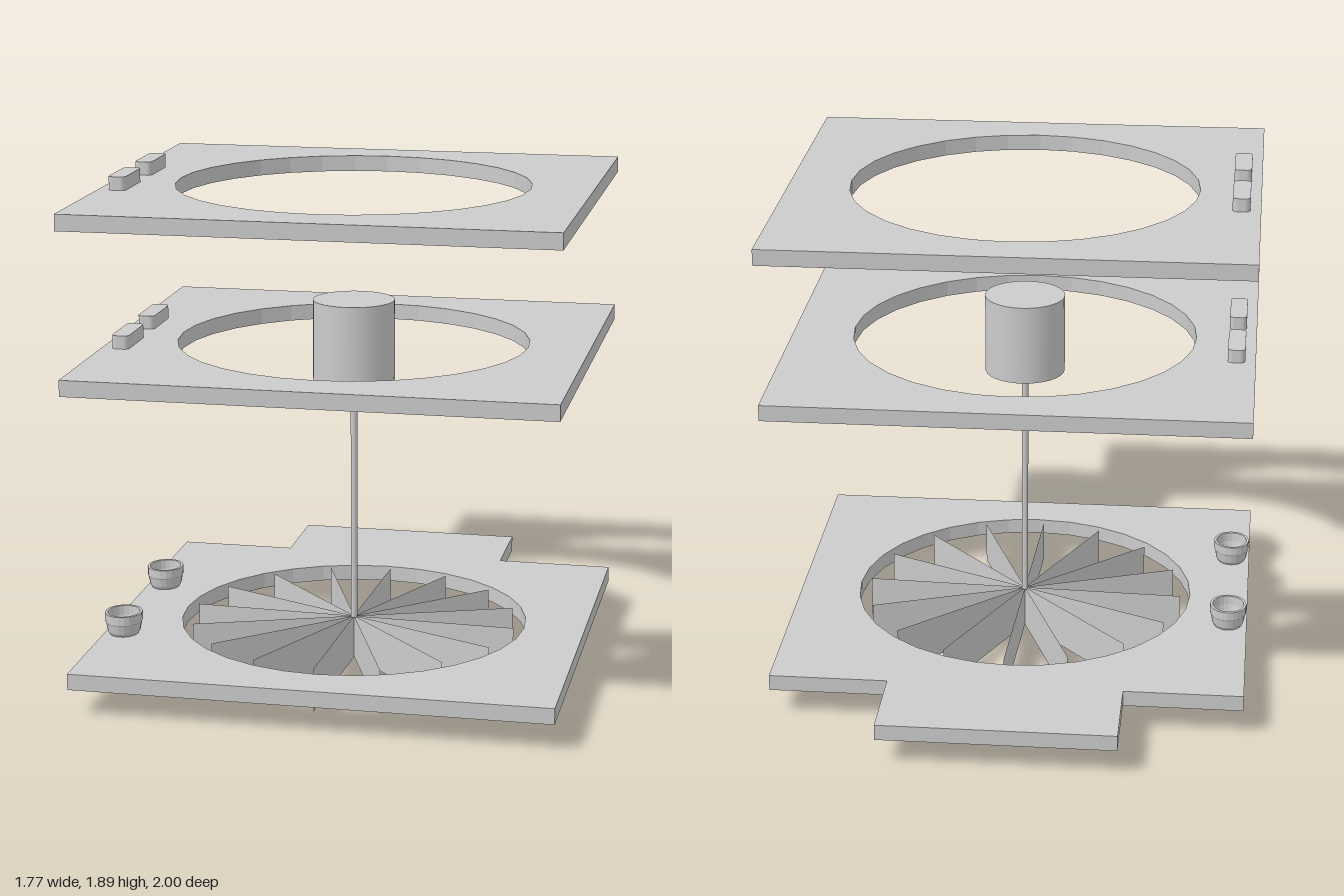
import * as THREE from 'three';

const AXIS_Z = 0.165; // z of the shared hole / fan axis
const HALF_W = 0.885;
const grey = new THREE.MeshStandardMaterial({ color: 0xcccccc });
const thin = new THREE.MeshStandardMaterial({ color: 0xcccccc, side: THREE.DoubleSide });

function add(parent, name, geometry, material, x = 0, y = 0, z = 0) {
  const mesh = new THREE.Mesh(geometry, material);
  mesh.name = name;
  mesh.position.set(x, y, z);
  parent.add(mesh);
  return mesh;
}

// Extrudes a plan outline (shape y = -z) upward from y = 0
function slab(shape, height, curveSegments) {
  const geo = new THREE.ExtrudeGeometry(shape, { depth: height, bevelEnabled: false, curveSegments });
  return geo.rotateX(-Math.PI / 2);
}

// Square plate with a round opening and an optional tab at the back
function plateGeometry(withTab) {
  const back = 0.66, tab = 0.44;
  const pts = [[-HALF_W, -1], [HALF_W, -1], [HALF_W, back]];
  if (withTab) pts.push([tab, back], [tab, 1], [-tab, 1], [-tab, back]);
  pts.push([-HALF_W, back]);
  const shape = new THREE.Shape(pts.map(([x, y]) => new THREE.Vector2(x, y)));
  const hole = new THREE.Path();
  hole.absarc(0, -AXIS_Z, 0.657, 0, Math.PI * 2, true);
  shape.holes.push(hole);
  return slab(shape, 0.06, 16);
}

// Upright peg with rounded corners in plan
function pegGeometry() {
  const w = 0.0325, l = 0.11, r = 0.02;
  const s = new THREE.Shape();
  s.absarc(w - r, l - r, r, 0, Math.PI / 2);
  s.absarc(r - w, l - r, r, Math.PI / 2, Math.PI);
  s.absarc(r - w, r - l, r, Math.PI, Math.PI * 1.5);
  s.absarc(w - r, r - l, r, Math.PI * 1.5, Math.PI * 2);
  return slab(s, 0.05, 4);
}

export function createModel() {
  const model = new THREE.Group();
  model.name = 'explodedFanAssembly';

  // Three stacked plates
  add(model, 'basePlate', plateGeometry(true), grey, 0, 0.1, 0);
  const upper = plateGeometry(false);
  const peg = pegGeometry();
  for (const [name, y] of [['middle', 1.19], ['top', 1.78]]) {
    add(model, name + 'Plate', upper, grey, 0, y, 0);
    for (const z of [0.03, 0.38]) add(model, name + 'Peg', peg, grey, -0.8125, y + 0.06, z);
  }

  // Small open cups on the base plate
  const cupProfile = [
    [0, 0], [0.054, 0], [0.061, 0.012], [0.067, 0.045], [0.07, 0.05], [0.07, 0.083],
    [0.06, 0.083], [0.058, 0.048], [0.05, 0.014], [0, 0.014],
  ].map(([x, y]) => new THREE.Vector2(x, y));
  const cupGeo = new THREE.LatheGeometry(cupProfile, 20).toNonIndexed();
  cupGeo.scale(1, 1, 1.14);
  cupGeo.computeVertexNormals();
  for (const z of [-0.07, 0.515]) add(model, 'cup', cupGeo, thin, -0.812, 0.162, z);

  // Motor and drive shaft
  add(model, 'motor', new THREE.CylinderGeometry(0.153, 0.153, 0.305, 32), grey, 0, 1.2525, AXIS_Z);
  add(model, 'shaft', new THREE.CylinderGeometry(0.0125, 0.0125, 0.95, 16), grey, 0, 0.635, AXIS_Z);

  // Radial fan blades, paper thin
  const fan = new THREE.Group();
  fan.name = 'fan';
  fan.position.set(0, 0, AXIS_Z);
  const bladeGeo = new THREE.PlaneGeometry(0.62, 0.165).translate(0.31, 0.0825, 0);
  const count = 16;
  for (let i = 0; i < count; i++) {
    const blade = add(fan, 'blade', bladeGeo, thin);
    blade.rotation.y = (i * Math.PI * 2) / count - 0.038;
  }
  model.add(fan);

  return model;
}
